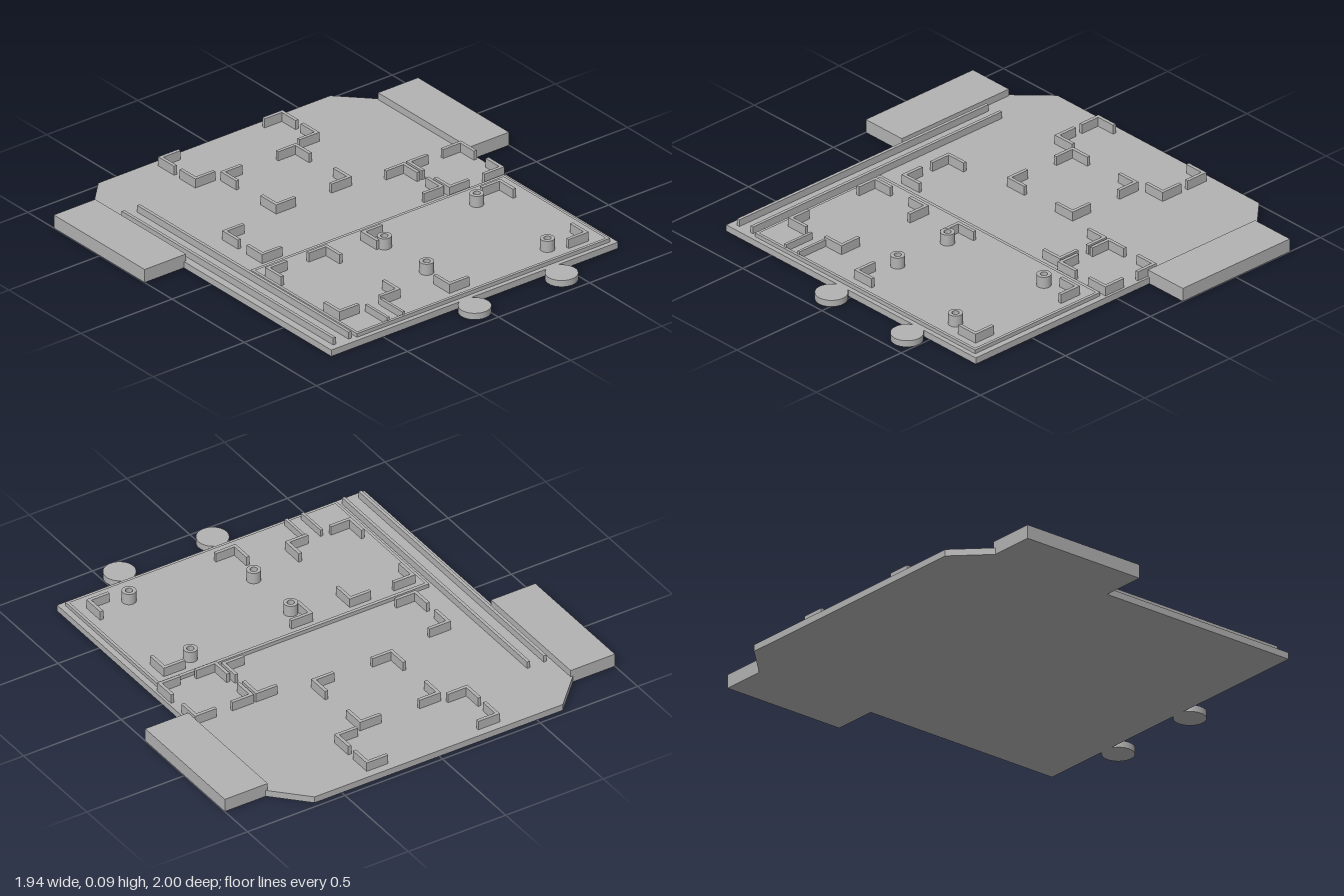
import * as THREE from 'three';

const BASE = 0.031; // thickness of the base plate

export function createModel() {
  const model = new THREE.Group();
  const grey = new THREE.MeshStandardMaterial({ color: 0xb2b2b2 });
  grey.name = 'plainGrey';

  const add = (name, geometry, parent = model) => {
    const mesh = new THREE.Mesh(geometry, grey);
    mesh.name = name;
    parent.add(mesh);
    return mesh;
  };
  // box given by its limits in x, z and y
  const block = (name, x0, x1, z0, z1, y0, y1, parent) => {
    const mesh = add(name, new THREE.BoxGeometry(x1 - x0, y1 - y0, z1 - z0), parent);
    mesh.position.set((x0 + x1) / 2, (y0 + y1) / 2, (z0 + z1) / 2);
    return mesh;
  };
  // outline in (x, z) extruded upwards from y0
  const plate = (name, points, holes, y0, height, parent) => {
    const flip = (list) => list.map(([x, z]) => new THREE.Vector2(x, -z));
    const shape = new THREE.Shape(flip(points));
    for (const hole of holes) shape.holes.push(new THREE.Path(flip(hole)));
    const geometry = new THREE.ExtrudeGeometry(shape, { depth: height, bevelEnabled: false });
    geometry.rotateX(-Math.PI / 2).translate(0, y0, 0);
    return add(name, geometry, parent);
  };
  const rect = (x0, x1, z0, z1) => [[x0, z0], [x1, z0], [x1, z1], [x0, z1]];

  // base plate with two cut corners
  plate('basePlate', [
    [-0.975, -0.64], [-0.82, -0.79], [0.832, -0.79], [0.832, 0.785],
    [-0.82, 0.785], [-0.975, 0.633],
  ], [], 0, BASE);

  // raised blocks at both sides
  block('backBlock', -0.82, -0.19, -1, -0.78, 0, 0.064);
  block('frontBlock', -0.82, -0.19, 0.773, 1, 0, 0.064);

  // round connector tabs with short necks
  for (const z of [-0.427, 0.05]) {
    const tab = add('connectorTab', new THREE.CylinderGeometry(0.072, 0.072, BASE, 40));
    tab.position.set(0.898, BASE / 2, z);
    block('connectorNeck', 0.825, 0.86, z - 0.036, z + 0.036, 0, BASE);
  }

  // low rectangular frame
  plate('frame', rect(0.074, 0.81, -0.762, 0.627),
    [rect(0.09, 0.796, -0.748, 0.613)], BASE, 0.018);

  // long rails and short guide rails
  for (const z of [0.65, 0.735]) block('longRail', -0.665, 0.8, z, z + 0.015, BASE, 0.064);
  for (const z of [0.356, 0.44]) block('guideRail', 0.646, 0.8, z, z + 0.013, BASE, 0.064);

  // L-shaped corner brackets, four for each component: x0, x1, z0, z1
  const bays = [
    [-0.243, 0.058, -0.778, -0.477],
    [-0.243, 0.035, -0.466, 0.533],
    [-0.937, -0.68, -0.348, 0.334],
    [-0.667, -0.28, -0.208, 0.207],
    [0.132, 0.746, -0.696, 0.069],
    [0.132, 0.646, 0.257, 0.594],
  ];
  const leg = 0.11, wall = 0.016;
  for (const [x0, x1, z0, z1] of bays) {
    const bay = new THREE.Group();
    bay.name = 'bracketSet';
    for (const [x, sx] of [[x0, 1], [x1, -1]]) {
      for (const [z, sz] of [[z0, 1], [z1, -1]]) {
        const corner = [[0, 0], [leg, 0], [leg, wall], [wall, wall], [wall, leg], [0, leg]];
        plate('cornerBracket', corner.map(([a, b]) => [x + sx * a, z + sz * b]),
          [], BASE, 0.075 - BASE, bay);
      }
    }
    model.add(bay);
  }

  // hollow mounting posts
  const outer = 0.032, inner = 0.016, top = 0.085;
  const ring = new THREE.Shape().absarc(0, 0, outer, 0, Math.PI * 2, false);
  ring.holes.push(new THREE.Path().absarc(0, 0, inner, 0, Math.PI * 2, true));
  const postGeometry = new THREE.ExtrudeGeometry(ring,
    { depth: top - BASE, bevelEnabled: false, curveSegments: 24 }).rotateX(-Math.PI / 2);
  for (const [x, z] of [[0.185, -0.526], [0.692, -0.512], [0.239, 0.024], [0.532, 0.024]]) {
    add('mountingPost', postGeometry).position.set(x, BASE, z);
  }

  return model;
}
